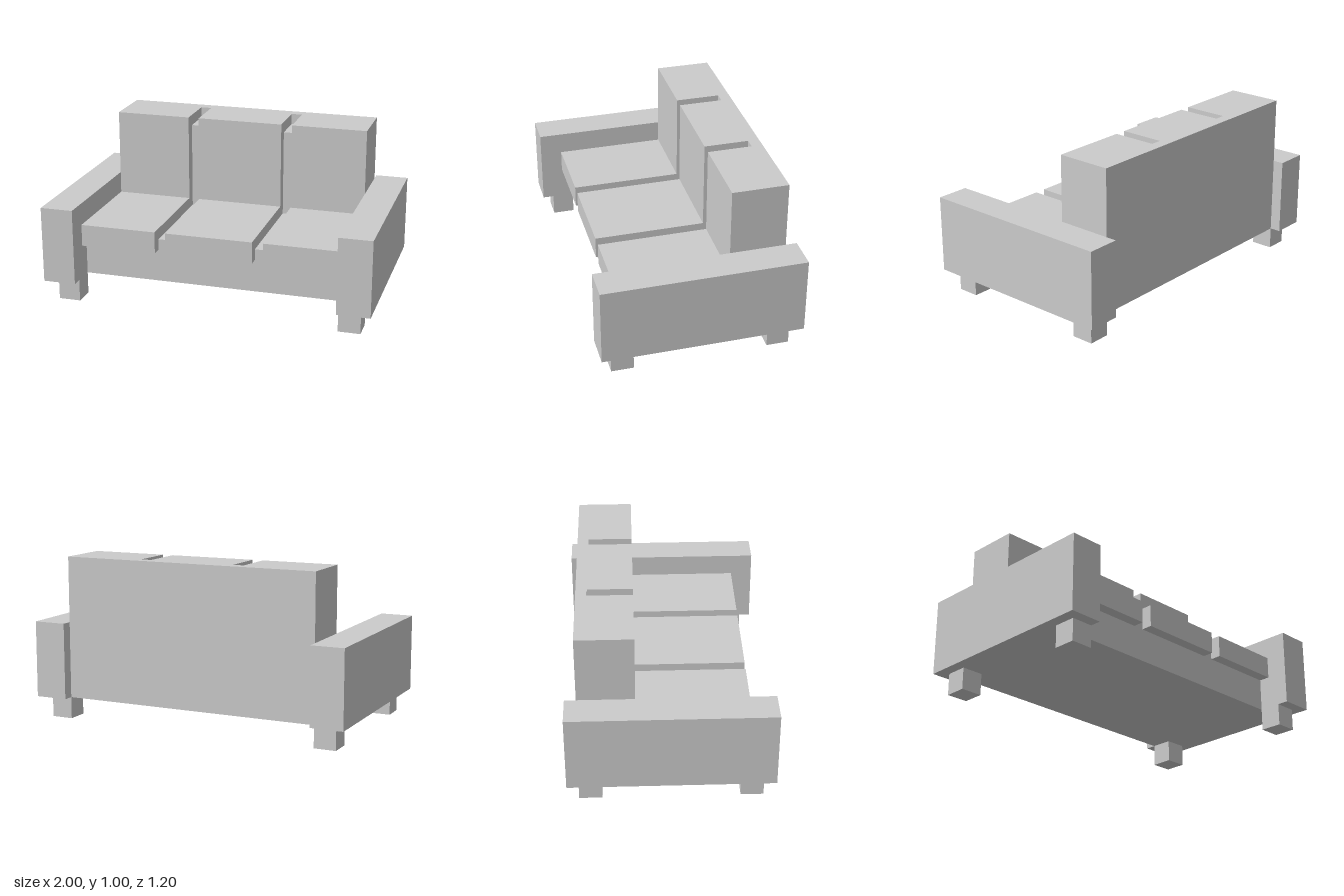
import * as THREE from 'three';

const U = 1 / 15; // design module: every size is a whole number of these
const material = new THREE.MeshStandardMaterial({ color: 0xcccccc, flatShading: true });

// Box given by its lower and upper corners, in modules
function box(name, [x0, y0, z0], [x1, y1, z1]) {
  const geometry = new THREE.BoxGeometry((x1 - x0) * U, (y1 - y0) * U, (z1 - z0) * U);
  const mesh = new THREE.Mesh(geometry, material);
  mesh.position.set((x0 + x1) * U / 2, (y0 + y1) * U / 2, (z0 + z1) * U / 2);
  mesh.name = name;
  return mesh;
}

// Side profile of [z, y] points swept across from x0 to x1, in modules
function sweep(name, profile, x0, x1) {
  const shape = new THREE.Shape(profile.map(([z, y]) => new THREE.Vector2(z * U, y * U)));
  const geometry = new THREE.ExtrudeGeometry(shape, { depth: (x1 - x0) * U, bevelEnabled: false });
  geometry.rotateY(-Math.PI / 2).translate(x1 * U, 0, 0);
  const mesh = new THREE.Mesh(geometry, material);
  mesh.name = name;
  return mesh;
}

export function createModel() {
  const sofa = new THREE.Group();
  sofa.name = 'sofa';

  // Base and stepped backrest in one piece; it shows in the gaps between cushions
  const frameProfile = [[-8, 2], [6, 2], [6, 6], [-4, 6], [-4, 14], [-7, 14], [-7, 15], [-8, 15]];
  sofa.add(sweep('frame', frameProfile, -12, 12));

  // Three cushions, each wrapping over the seat front and the top of the back
  const cushionProfile = [
    [6, 5], [7, 5], [7, 7], [-3, 7], [-3, 15], [-7, 15], [-7, 14], [-4, 14], [-4, 6], [6, 6],
  ];
  sofa.add(sweep('rightCushion', cushionProfile, -12, -5));
  sofa.add(sweep('middleCushion', cushionProfile, -4, 4));
  sofa.add(sweep('leftCushion', cushionProfile, 5, 12));

  // Armrests and legs on both sides
  for (const [side, s] of [['left', 1], ['right', -1]]) {
    const span = (a, b) => (s > 0 ? [a, b] : [-b, -a]);
    const [a0, a1] = span(12, 15);
    sofa.add(box(side + 'Armrest', [a0, 2, -9], [a1, 9, 9]));
    const [l0, l1] = span(12, 14);
    sofa.add(box(side + 'FrontLeg', [l0, 0, 6], [l1, 2, 8]));
    sofa.add(box(side + 'BackLeg', [l0, 0, -8], [l1, 2, -6]));
  }
  return sofa;
}
